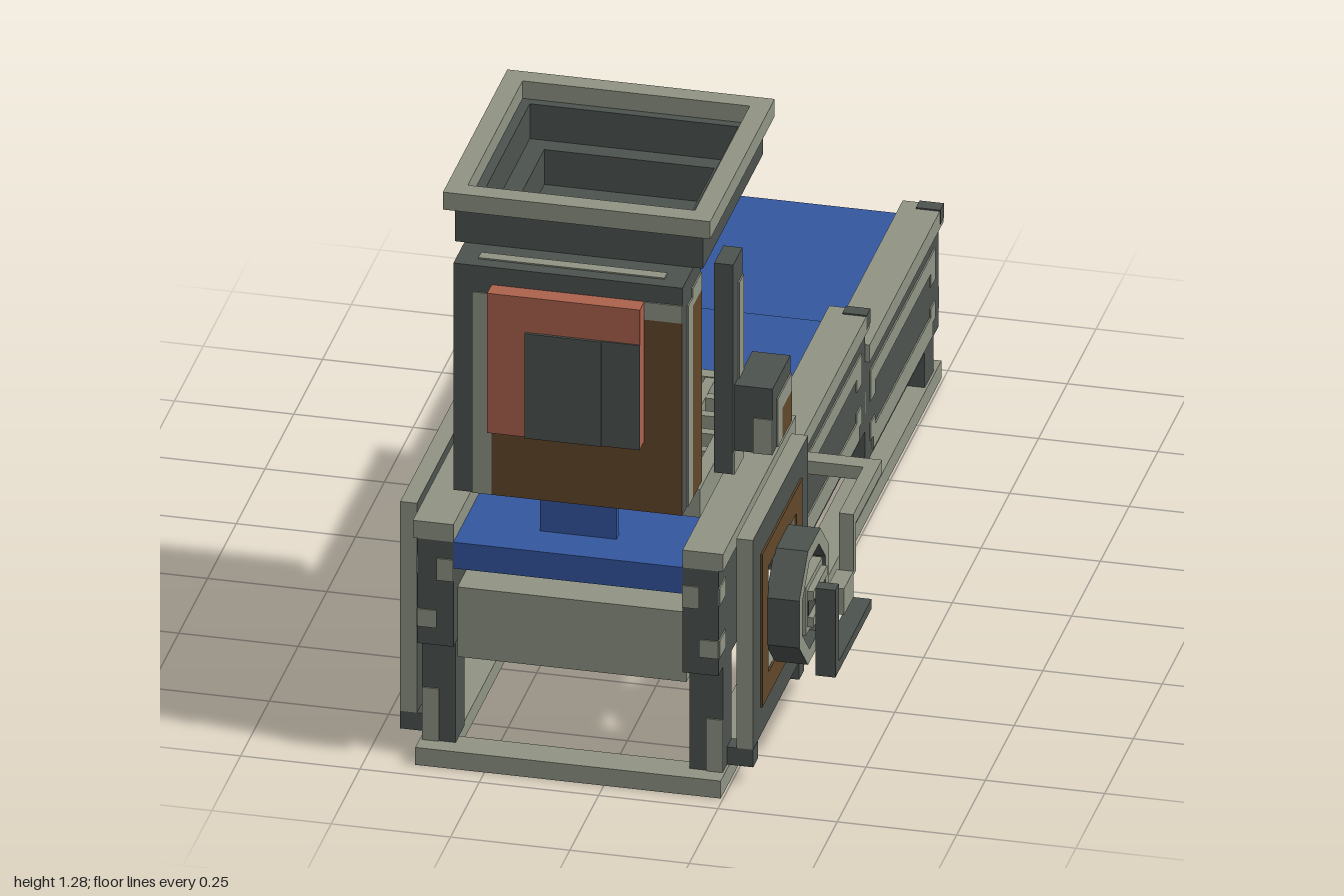
import * as THREE from 'three';

const mat = (name, color) => Object.assign(new THREE.MeshStandardMaterial({ color }), { name });

export function createModel() {
  const model = new THREE.Group();
  model.name = 'conveyorCrusher';
  const dark = mat('darkSteel', 0x4d534f);
  const light = mat('wornSteel', 0x919585);
  const blue = mat('blueBelt', 0x3457a0);
  const brown = mat('rust', 0x614729);
  const red = mat('redPanel', 0xae634e);
  const CX = -0.075; // middle of the machine

  const add = (name, geo, m) => {
    const mesh = new THREE.Mesh(geo, m);
    mesh.name = name;
    model.add(mesh);
    return mesh;
  };
  // box from min/max on each axis
  const box = (name, m, x0, x1, y0, y1, z0, z1) =>
    add(name, new THREE.BoxGeometry(x1 - x0, y1 - y0, z1 - z0), m)
      .position.set((x0 + x1) / 2, (y0 + y1) / 2, (z0 + z1) / 2);
  // same box on both sides of the centre plane
  const pair = (name, m, x0, x1, ...r) => {
    box(name + 'Left', m, x0, x1, ...r);
    box(name + 'Right', m, 2 * CX - x1, 2 * CX - x0, ...r);
  };
  // regular ring with n sides, half-widths a (outer) and b (inner), extruded by d
  const ring = (n, a, b, d) => {
    const pts = (r) => Array.from({ length: n }, (_, i) => {
      const t = ((i + 0.5) / n) * Math.PI * 2, R = r / Math.cos(Math.PI / n);
      return new THREE.Vector2(Math.cos(t) * R, Math.sin(t) * R);
    });
    const s = new THREE.Shape(pts(a));
    s.holes.push(new THREE.Path(pts(b)));
    return new THREE.ExtrudeGeometry(s, { depth: d, bevelEnabled: false });
  };

  // base frame
  pair('baseRail', light, 0.175, 0.245, 0, 0.04, -0.965, 0.955);
  box('baseBarFront', light, -0.325, 0.175, 0, 0.04, 0.885, 0.955);
  box('baseBarBack', light, -0.325, 0.175, 0, 0.04, -0.955, -0.895);
  pair('frontLeg', dark, 0.17, 0.24, 0.04, 0.28, 0.84, 0.915);
  pair('frontLegWear', light, 0.205, 0.24, 0.04, 0.16, 0.915, 0.918);
  pair('backLeg', dark, 0.17, 0.24, 0.04, 0.12, -0.915, -0.84);

  // conveyor sections stepping down to the back
  const wear = (z0, z1, y) => {
    const strip = (a, b, c, d) => pair('wallWear', light, 0.24, 0.243, y + a, y + b, c, d);
    strip(0.16, 0.2, z0 + 0.04, z1 - 0.04);
    strip(0.01, 0.06, z0 + 0.06, z1 - 0.06);
    for (const z of [z0 + 0.04, z1 - 0.08]) {
      strip(0.13, 0.16, z, z + 0.04);
      strip(0.04, 0.08, z, z + 0.04);
    }
  };
  [[-0.32, 0.32, 0.2], [-0.96, -0.32, 0.12]].forEach(([z0, z1, y]) => {
    pair('conveyorWall', dark, 0.165, 0.24, y, y + 0.24, z0, z1);
    pair('conveyorCap', light, 0.165, 0.25, y + 0.24, y + 0.28, z0, z1);
    pair('capWear', dark, 0.2, 0.251, y + 0.25, y + 0.283, z0 - 0.002, z0 + 0.03);
    wear(z0, z1, y);
    pair('wallEndWear', light, 0.2, 0.24, y + 0.04, y + 0.09, z0 - 0.003, z0);
    pair('wallEndWear', light, 0.165, 0.2, y + 0.15, y + 0.2, z0 - 0.003, z0);
    box('belt', blue, -0.315, 0.165, y + 0.18, y + 0.24, z0 - 0.005, z1);
  });

  // front section, open around the crusher window
  pair('frontWallTop', dark, 0.165, 0.24, 0.45, 0.52, 0.32, 0.955);
  pair('frontWallFront', dark, 0.165, 0.24, 0.28, 0.45, 0.77, 0.955);
  pair('frontWallBack', dark, 0.165, 0.24, 0.28, 0.45, 0.32, 0.45);
  pair('frontCap', light, 0.165, 0.25, 0.52, 0.56, 0.32, 0.955);
  pair('frontWallWear', light, 0.2, 0.24, 0.32, 0.36, 0.955, 0.958);
  pair('frontWallWear', light, 0.165, 0.2, 0.43, 0.48, 0.955, 0.958);
  pair('frontWallSideWear', light, 0.24, 0.243, 0.32, 0.36, 0.9, 0.955);
  pair('frontWallSideWear', light, 0.24, 0.243, 0.44, 0.48, 0.9, 0.955);
  box('frontBelt', blue, -0.315, 0.165, 0.46, 0.52, 0.25, 0.955);
  box('beltRiser', blue, -0.315, 0.165, 0.38, 0.46, 0.25, 0.3);
  box('crossPlate', light, -0.315, 0.165, 0.24, 0.4, 0.78, 0.92);

  // hanging apron at the back
  box('apron', blue, -0.315, 0.165, 0, 0.36, -0.978, -0.962);
  box('apronBar', light, -0.315, 0.165, 0.18, 0.22, -1, -0.945);

  // square side plates with a window and a rusty surround
  for (const s of [1, -1]) {
    const x = CX + s * 0.352;
    add('sidePlate', ring(4, 0.24, 0.12, 0.035).translate(0, 0, -0.0175).rotateY(Math.PI / 2), [dark, light])
      .position.set(x, 0.32, 0.64);
    add('rustSurround', ring(4, 0.175, 0.121, 0.043).translate(0, 0, -0.0215).rotateY(Math.PI / 2), brown)
      .position.set(x, 0.32, 0.64);
  }
  for (const z of [0.44, 0.84]) pair('plateFoot', dark, 0.24, 0.295, 0.04, 0.08, z, z + 0.04);

  // motor wheel and hub
  add('wheel', ring(8, 0.13, 0.1, 0.07).rotateY(Math.PI / 2), [light, dark]).position.set(0.295, 0.32, 0.64);
  box('wheelSpoke', dark, 0.3, 0.33, 0.21, 0.43, 0.625, 0.655);
  box('wheelSpoke', dark, 0.3, 0.33, 0.305, 0.335, 0.53, 0.75);
  box('hub', light, 0.295, 0.365, 0.265, 0.375, 0.57, 0.71);
  for (const y of [0.28, 0.34]) box('hubRib', light, 0.295, 0.378, y, y + 0.022, 0.58, 0.7);
  box('hubSlot', dark, 0.363, 0.367, 0.304, 0.338, 0.58, 0.7);
  box('axle', light, 0.365, 0.4, 0.31, 0.33, 0.615, 0.64);

  // pipe and guard outside the wheel
  box('pipeArm', light, 0.24, 0.43, 0.45, 0.48, 0.32, 0.36);
  box('pipeRun', light, 0.4, 0.43, 0.45, 0.48, 0.36, 0.57);
  box('pipeDrop', light, 0.4, 0.43, 0.34, 0.45, 0.545, 0.57);
  box('guardPost', dark, 0.395, 0.437, 0.2, 0.4, 0.725, 0.755);
  box('guardBar', dark, 0.395, 0.437, 0.2, 0.222, 0.44, 0.725);
  box('guardBracket', light, 0.395, 0.43, 0.29, 0.35, 0.57, 0.65);

  // sieve grid over the belt
  pair('sieveSide', light, 0.125, 0.155, 0.535, 0.6, 0.24, 0.76);
  for (const z of [0.24, 0.73]) box('sieveEnd', light, -0.275, 0.125, 0.535, 0.6, z, z + 0.03);
  for (let i = 1; i < 6; i++) {
    const x = -0.275 + (i * 0.4) / 6, z = 0.27 + (i * 0.46) / 6;
    box('sieveBar', light, x - 0.011, x + 0.011, 0.555, 0.598, 0.27, 0.73);
    box('sieveCrossBar', light, -0.275, 0.125, 0.555, 0.597, z - 0.011, z + 0.011);
  }

  // stepped hopper: half-width, bottom, height
  [[0.28, 1.24, 0.04], [0.26, 1.16, 0.08], [0.22, 1.08, 0.08], [0.18, 1, 0.08], [0.14, 0.92, 0.08], [0.1, 0.72, 0.2]]
    .forEach(([a, y, h], i) => {
      add(i ? 'hopperStep' : 'hopperRim', ring(4, a, a - 0.042, h).rotateX(-Math.PI / 2), i ? dark : light)
        .position.set(CX, y, 0.6);
    });
  pair('hopperPost', dark, 0.165, 0.205, 0.6, 1.08, 0.6, 0.68);
  pair('postWear', light, 0.205, 0.208, 0.78, 1.02, 0.6, 0.64);
  pair('postFootWear', light, 0.205, 0.208, 0.6, 0.65, 0.6, 0.68);

  // small switch box on the post
  box('switchBox', dark, 0.205, 0.285, 0.65, 0.8, 0.515, 0.67);
  box('switchRust', brown, 0.285, 0.288, 0.65, 0.72, 0.515, 0.595);
  box('switchWear', light, 0.285, 0.288, 0.72, 0.76, 0.515, 0.635);
  box('switchWear', light, 0.285, 0.288, 0.65, 0.72, 0.595, 0.635);
  box('switchFrontWear', light, 0.245, 0.285, 0.65, 0.73, 0.67, 0.673);
  box('switchBackWear', light, 0.245, 0.285, 0.65, 0.73, 0.512, 0.515);

  // control cabinet on its blue stand
  box('cabinetStand', blue, -0.155, 0.005, 0.52, 0.64, 0.845, 0.865);
  box('cabinet', dark, -0.315, 0.165, 0.64, 1.16, 0.8, 0.955);
  box('cabinetRust', brown, -0.235, 0.165, 0.64, 1.08, 0.955, 0.958);
  box('cabinetWear', light, -0.275, -0.235, 0.64, 1.1, 0.955, 0.958);
  box('cabinetWear', light, 0.085, 0.165, 1.08, 1.12, 0.955, 0.958);
  pair('cabinetSideRust', brown, 0.165, 0.168, 0.64, 1.08, 0.8, 0.875);
  pair('cabinetSideWear', light, 0.165, 0.168, 0.64, 1.1, 0.875, 0.915);
  pair('cabinetSideWear', light, 0.165, 0.168, 1.08, 1.12, 0.8, 0.875);
  box('cabinetBackRust', brown, -0.235, 0.165, 0.64, 1.08, 0.797, 0.8);
  box('cabinetBackWear', light, -0.275, -0.235, 0.64, 1.1, 0.797, 0.8);
  box('cabinetTopWear', light, -0.27, 0.12, 1.16, 1.163, 0.9, 0.925);
  box('controlPanel', red, -0.235, 0.085, 0.8, 1.12, 0.955, 0.994);
  box('controlScreen', dark, -0.155, 0.085, 0.8, 1.04, 0.992, 0.997);
  box('screenCover', dark, -0.155, 0.005, 0.8, 1.04, 0.994, 1);
  return model;
}
